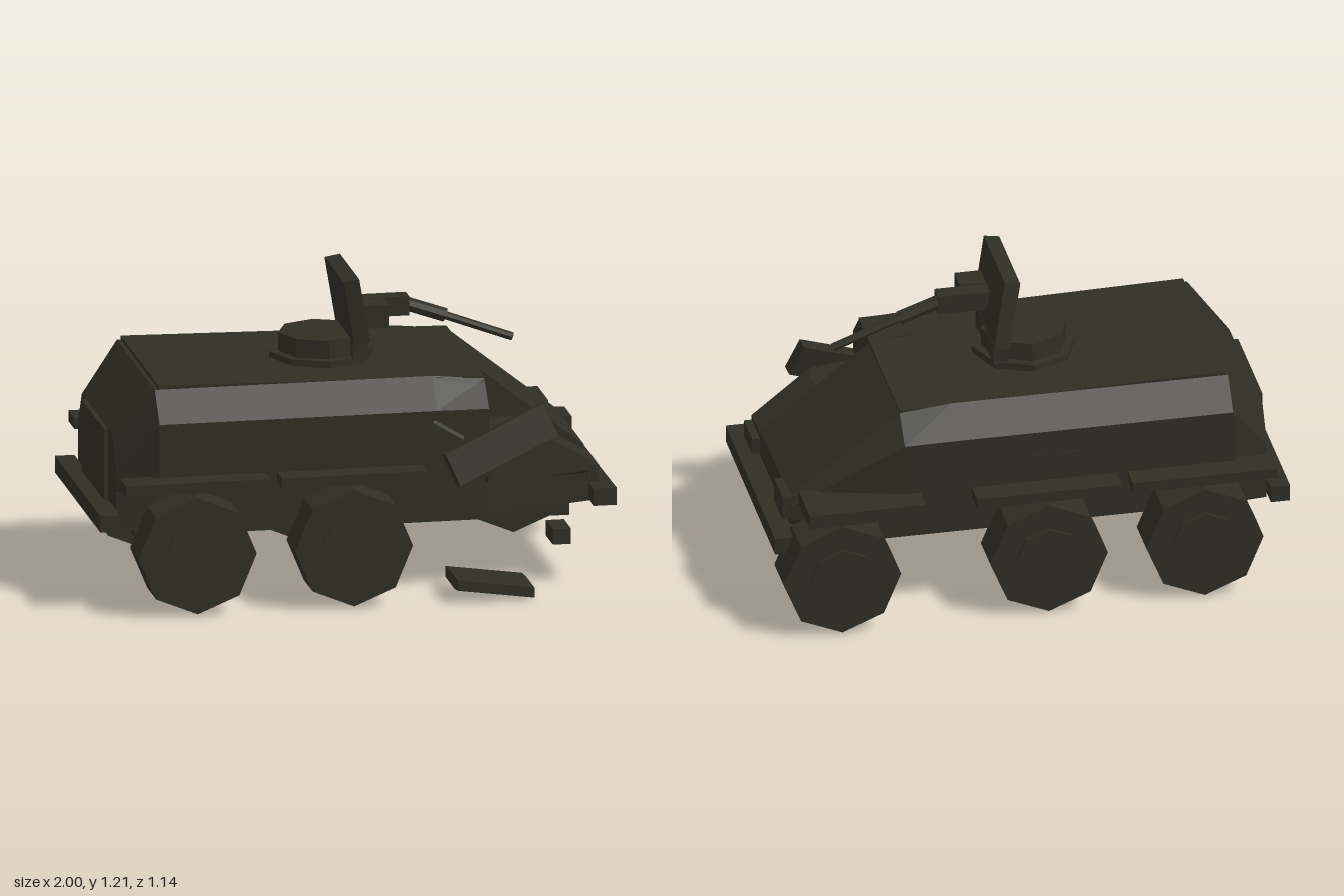
import * as THREE from 'three';

export function createModel() {
  const model = new THREE.Group();
  const olive = new THREE.MeshStandardMaterial({ color: 0x2f2e23, flatShading: true });
  olive.name = 'dark olive';

  const add = (name, geo, x = 0, y = 0, z = 0, rx = 0, ry = 0, rz = 0) => {
    const mesh = new THREE.Mesh(geo, olive);
    mesh.name = name;
    mesh.position.set(x, y, z);
    mesh.rotation.set(rx, ry, rz);
    model.add(mesh);
    return mesh;
  };

  // box given by its limits on each axis
  const block = (name, x0, x1, y0, y1, z0, z1) =>
    add(name, new THREE.BoxGeometry(x1 - x0, y1 - y0, z1 - z0), (x0 + x1) / 2, (y0 + y1) / 2, (z0 + z1) / 2);

  // closed solid through rings of [x, y, z]; each ring rises at -z and descends at +z
  const loft = (rings) => {
    const pos = [];
    const n = rings[0].length;
    const tri = (a, b, c) => pos.push(...a, ...b, ...c);
    for (let i = 0; i < rings.length - 1; i++) {
      for (let j = 0; j < n; j++) {
        const k = (j + 1) % n;
        const [a, b, c, d] = [rings[i][j], rings[i][k], rings[i + 1][k], rings[i + 1][j]];
        tri(a, b, d);
        tri(b, c, d);
      }
    }
    const cap = (ring, flip) => {
      const mid = [0, 1, 2].map((q) => ring.reduce((s, p) => s + p[q], 0) / n);
      ring.forEach((p, j) => {
        const next = ring[(j + 1) % n];
        flip ? tri(mid, next, p) : tri(mid, p, next);
      });
    };
    cap(rings[0], true);
    cap(rings[rings.length - 1], false);
    const geo = new THREE.BufferGeometry();
    geo.setAttribute('position', new THREE.Float32BufferAttribute(pos, 3));
    geo.computeVertexNormals();
    return geo;
  };

  // hull cross-sections: half profile [halfWidth, y] from the bottom up
  const tailProfile = [[0.37, 0.3], [0.375, 0.46], [0.38, 0.47], [0.38, 0.535], [0.3, 0.665]];
  const bodyProfile = [[0.385, 0.3], [0.385, 0.47], [0.47, 0.47], [0.47, 0.737], [0.375, 0.85]];
  const cowlProfile = [[0.385, 0.3], [0.385, 0.47], [0.47, 0.47], [0.47, 0.735], [0.375, 0.83]];
  const noseProfile = [[0.34, 0.32], [0.345, 0.38], [0.355, 0.4], [0.355, 0.46], [0.34, 0.5]];
  const mirrored = (x, half) => [
    ...half.map(([w, y]) => [x, y, -w]),
    ...[...half].reverse().map(([w, y]) => [x, y, w]),
  ];
  add('hull', loft([
    mirrored(-0.925, tailProfile), mirrored(-0.775, bodyProfile),
    mirrored(0.3, bodyProfile), mirrored(0.5, cowlProfile),
  ]));

  // sloping nose, intact on the right
  const cut = 0.19;
  const rightHalf = (x, half) => [
    ...half.map(([w, y]) => [x, y, -w]),
    [x, half[4][1], cut], [x, half[0][1], cut],
  ];
  add('noseRight', loft([rightHalf(0.5, cowlProfile), rightHalf(0.92, noseProfile)]));

  // broken left of the nose, cut down to a low shelf
  const leftHalf = (x, top, w, lowW, lowY) => [
    [x, lowY, cut], [x, top, cut], [x, top, w], [x, 0.44, w], [x, 0.43, lowW], [x, lowY, lowW],
  ];
  add('noseLeft', loft([
    leftHalf(0.5, 0.63, 0.46, 0.385, 0.3),
    leftHalf(0.69, 0.62, 0.41, 0.37, 0.31),
    leftHalf(0.92, 0.48, 0.35, 0.34, 0.32),
  ]));

  // roof, belly, rear door and bumpers
  add('roofPlate', loft([
    [[-0.76, 0.845, -0.375], [-0.76, 0.865, -0.375], [-0.76, 0.865, 0.375], [-0.76, 0.845, 0.375]],
    [[0.5, 0.825, -0.375], [0.5, 0.84, -0.375], [0.5, 0.84, 0.375], [0.5, 0.825, 0.375]],
  ]));
  block('bellyPlate', -0.84, 0.84, 0.26, 0.31, -0.315, 0.315);
  block('rearDoor', -0.942, -0.92, 0.32, 0.665, -0.22, 0.22);
  block('rearBumper', -1, -0.925, 0.32, 0.385, -0.45, 0.45);
  block('frontBumper', 0.91, 1, 0.32, 0.387, -0.45, 0.445).rotation.x = -0.012;
  block('rightHeadlamp', 0.9, 0.95, 0.41, 0.505, -0.35, -0.2);
  block('leftHeadlamp', 0.9, 0.95, 0.395, 0.46, 0.2, 0.35);

  // wheels with raised hubs; the front left one is missing
  const wheel = (x, side) => {
    const tyre = new THREE.CylinderGeometry(0.228, 0.228, 0.173, 8).rotateX(Math.PI / 2);
    const hub = new THREE.CylinderGeometry(0.13, 0.13, 0.03, 8).rotateX(Math.PI / 2);
    add('wheel', tyre, x, 0.238, side * 0.474);
    add('wheelHub', hub, x, 0.238, side * 0.555);
  };
  for (const side of [-1, 1]) {
    for (const x of [-0.645, -0.04]) wheel(x, side);
  }
  wheel(0.762, -1);
  block('axleStub', 0.73, 0.8, 0.21, 0.27, 0.41, 0.55);

  // fender plates
  for (const side of [-1, 1]) {
    for (const x of [-0.645, -0.04]) {
      add('fender', new THREE.BoxGeometry(0.56, 0.042, 0.12), x, 0.508, side * 0.507);
    }
  }
  block('frontFender', 0.44, 0.89, 0.475, 0.53, -0.568, -0.355);

  // five-pointed side plates
  const star = new THREE.Shape();
  for (let i = 0; i < 10; i++) {
    const a = Math.PI / 2 + (i * Math.PI) / 5;
    const r = i % 2 ? 0.042 : 0.105;
    star[i ? 'lineTo' : 'moveTo'](r * Math.cos(a), r * Math.sin(a));
  }
  const starGeo = new THREE.ExtrudeGeometry(star, { depth: 0.006, bevelEnabled: false });
  add('starLeft', starGeo, -0.08, 0.61, 0.468);
  add('starRight', starGeo, -0.08, 0.61, -0.468, 0, Math.PI, 0);

  // torn panels at the front left corner
  add('tornDoor', new THREE.BoxGeometry(0.43, 0.134, 0.05), 0.542, 0.591, 0.465, -0.2, 0.12, 0.41);
  add('bentRoofFlap', loft([
    [[0.31, 0.825, 0.19], [0.31, 0.85, 0.19], [0.31, 0.845, 0.38], [0.285, 0.69, 0.475], [0.31, 0.69, 0.45]],
    [[0.5, 0.815, 0.19], [0.5, 0.838, 0.19], [0.5, 0.832, 0.38], [0.4, 0.62, 0.475], [0.4, 0.62, 0.45]],
  ]));

  // fallen fender on the ground
  const fallen = (x, y) => [
    [x, y, 0.32], [x, y + 0.042, 0.32], [x, y + 0.05, 0.4],
    [x, y + 0.05, 0.57], [x, y + 0.01, 0.57], [x, y, 0.5],
  ];
  add('fallenFender', loft([fallen(0.36, 0.043), fallen(0.655, 0.001)]));

  // gun ring and drum
  add('turretRing', new THREE.CylinderGeometry(0.2, 0.2, 0.03, 8), -0.06, 0.863, 0);
  add('turretDrum', new THREE.CylinderGeometry(0.165, 0.165, 0.1, 8), -0.06, 0.9, 0);

  // leaning gun shield
  const shield = (dx, dy) => [
    [0.03 + dx, 0.94 + dy, -0.172], [-0.02 + dx, 1.2 + dy, -0.132],
    [-0.02 + dx, 1.2 + dy, 0.25], [0.03 + dx, 0.94 + dy, 0.21],
  ];
  add('gunShield', loft([shield(0, 0), shield(0.06, 0.01)]));
  block('shieldFoot', 0.03, 0.09, 0.87, 0.96, -0.15, 0.17);

  // gun body, ammunition box and drooping barrel
  block('gunBody', 0.05, 0.265, 1.015, 1.09, 0.025, 0.092);
  block('ammoBox', 0.05, 0.165, 1.0, 1.09, 0.1, 0.2);
  const rod = (name, radius, x0, y0, x1, y1) => {
    const geo = new THREE.CylinderGeometry(radius, radius, Math.hypot(x1 - x0, y1 - y0), 8);
    add(name, geo, (x0 + x1) / 2, (y0 + y1) / 2, 0.056, 0, 0, Math.atan2(y1 - y0, x1 - x0) - Math.PI / 2);
  };
  rod('barrelJacket', 0.027, 0.24, 1.06, 0.41, 1.0);
  rod('barrel', 0.016, 0.4, 1.003, 0.67, 0.902);

  return model;
}
